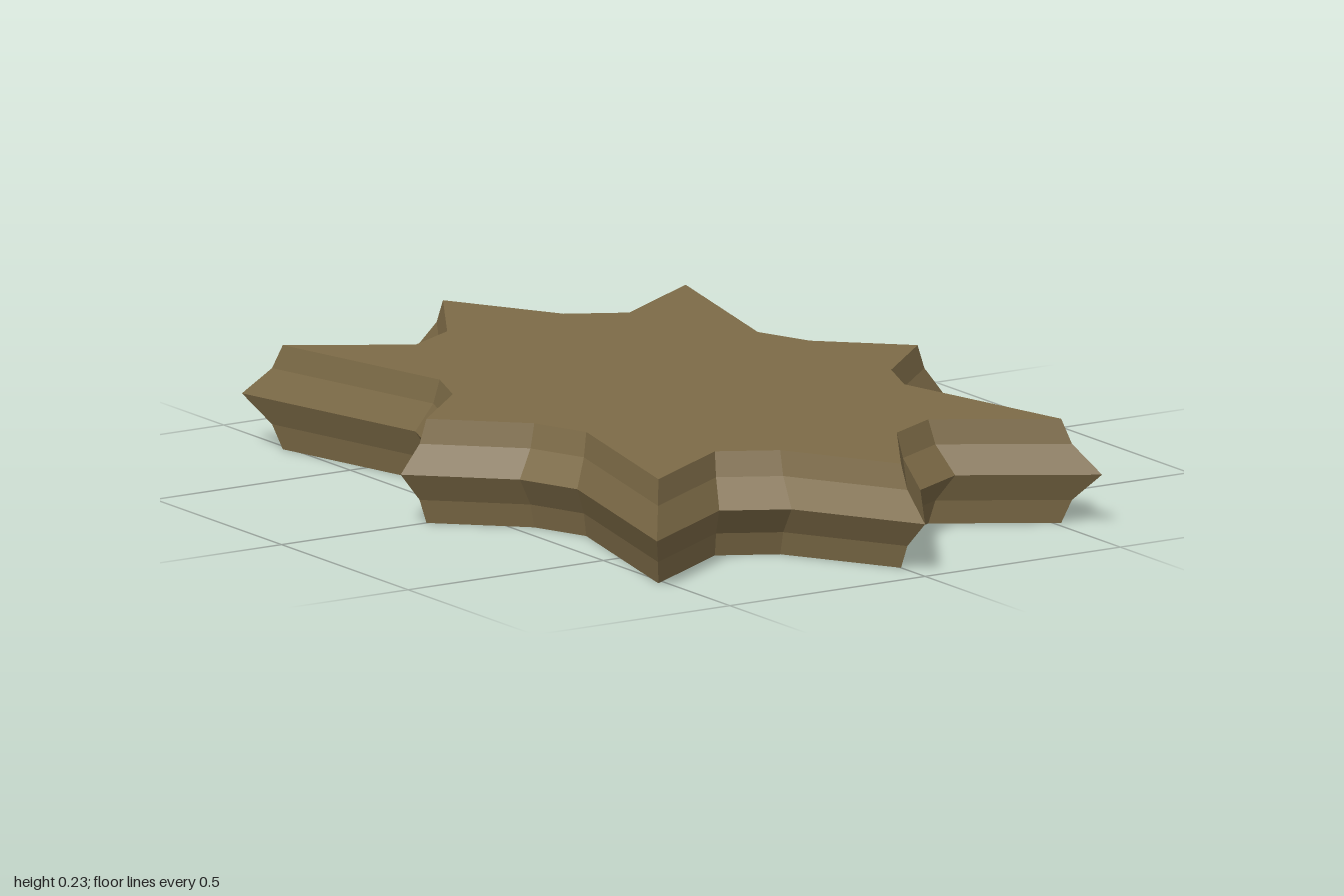
import * as THREE from 'three';

// One quadrant of the star outline at its widest level, from the +x tip to the +z tip
const QUADRANT = [
  [0.695, 0], [0.505, 0.178], [0.45, 0.32], [0.57, 0.82],
  [0.302, 0.653], [0.165, 0.727], [0, 1],
];

// Edge profile: [outline scale, height]; scale 0 closes the flat caps at the centre
const PROFILE = [
  [0, 0], [0.905, 0], [0.93, 0.053], [1, 0.115], [0.93, 0.177], [0.905, 0.23], [0, 0.23],
];

// Mirror the quadrant into the full outline, running from +x towards +z
function starOutline() {
  const half = [...QUADRANT, ...QUADRANT.slice(0, -1).reverse().map(([x, z]) => [-x, z])];
  return [...half, ...half.slice(1, -1).reverse().map(([x, z]) => [x, -z])];
}

// Stack scaled outlines and join neighbouring levels with flat faces
function starGeometry() {
  const outline = starOutline();
  const n = outline.length;
  const at = (level, i) => {
    const [s, y] = PROFILE[level];
    const [x, z] = outline[i % n];
    return [x * s, y, z * s];
  };
  const positions = [];
  for (let l = 0; l < PROFILE.length - 1; l++) {
    for (let i = 0; i < n; i++) {
      const a = at(l, i), b = at(l, i + 1), c = at(l + 1, i), d = at(l + 1, i + 1);
      if (PROFILE[l][0] > 0) positions.push(...a, ...c, ...b);
      if (PROFILE[l + 1][0] > 0) positions.push(...b, ...c, ...d);
    }
  }
  const geometry = new THREE.BufferGeometry();
  geometry.setAttribute('position', new THREE.Float32BufferAttribute(positions, 3));
  geometry.computeVertexNormals();
  return geometry;
}

export function createModel() {
  const group = new THREE.Group();
  group.name = 'starPlate';
  const bronze = new THREE.MeshStandardMaterial({ color: 0x7d6b47 });
  bronze.name = 'bronze';
  bronze.flatShading = true;

  // Eight-pointed plate with a ridged rim
  const plate = new THREE.Mesh(starGeometry(), bronze);
  plate.name = 'starBody';
  group.add(plate);
  return group;
}
